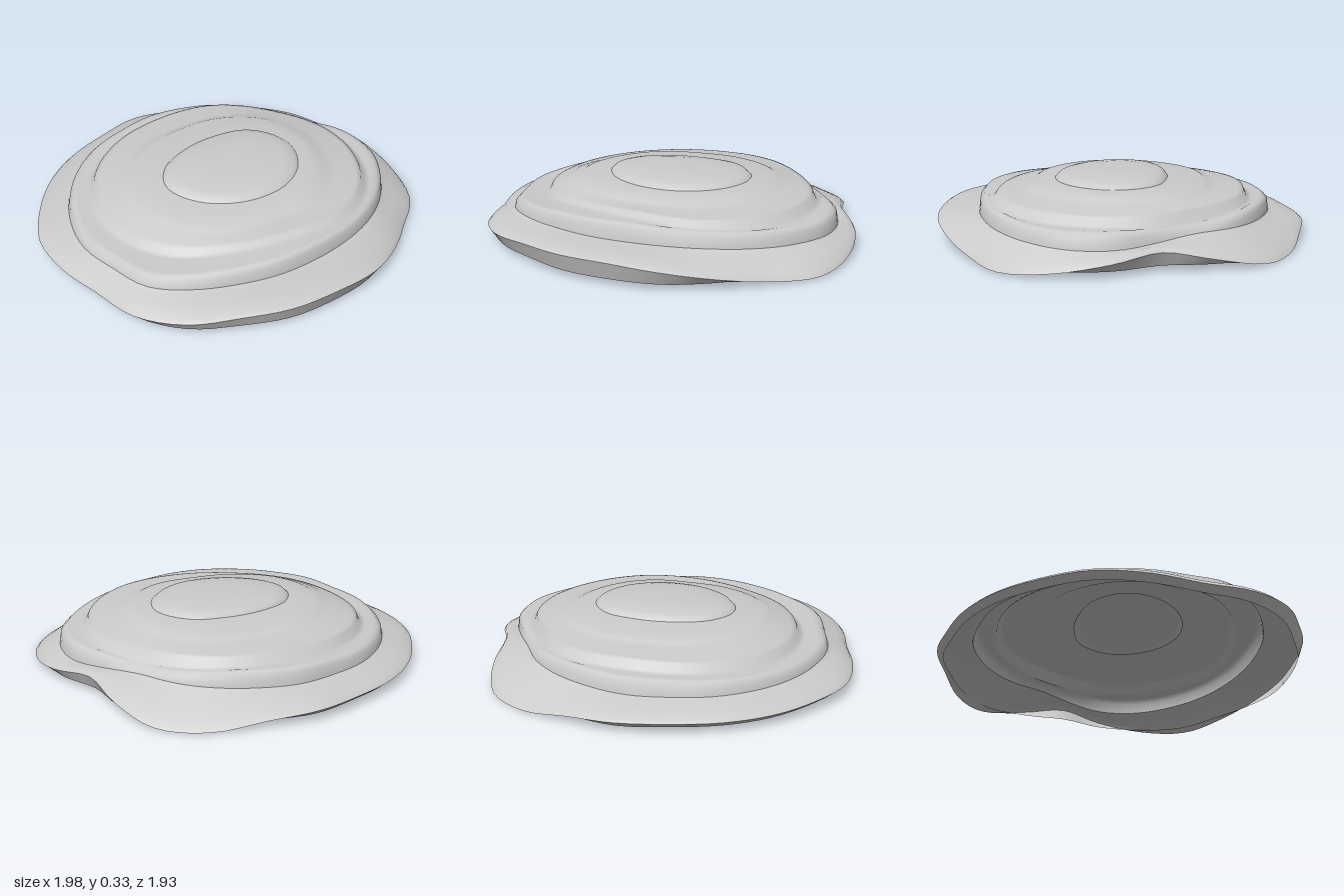
import * as THREE from 'three';

const SEGMENTS = 96;

// Smooth periodic lookup of a table spread evenly around the circle (angle 0 = +x, quarter turn = +z)
function around(table, t) {
  const n = table.length, f = t * n, i = Math.floor(f), u = f - i;
  const at = k => table[(k + n) % n];
  const a = at(i - 1), b = at(i), c = at(i + 1), d = at(i + 2);
  return b + 0.5 * u * (c - a + u * (2 * a - 5 * b + 4 * c - d + u * (3 * (b - c) + d - a)));
}

// Outline radii and heights
const rimR = [0.97, 1.02, 1.04, 0.98, 0.97, 0.975, 0.96, 0.965, 0.965, 1.0, 1.0, 0.96,
  0.985, 1.01, 0.99, 0.98, 0.965, 0.95, 0.97, 0.96, 0.99, 1.01, 0.95, 0.89];
const rimY = [0.07, 0.03, 0.008, 0.02, 0.06, 0.1, 0.12, 0.12, 0.11, 0.09, 0.07, 0.06,
  0.06, 0.06, 0.06, 0.06, 0.06, 0.06, 0.06, 0.04, 0.005, 0.01, 0.06, 0.1];
const ledgeR = [0.87, 0.89, 0.86, 0.82, 0.78, 0.75, 0.74, 0.75, 0.77, 0.81, 0.85, 0.83,
  0.84, 0.83, 0.82, 0.81, 0.8, 0.78, 0.78, 0.77, 0.77, 0.77, 0.76, 0.8];
const ledgeBase = [0.11, 0.12, 0.14, 0.15, 0.15, 0.14, 0.13, 0.12, 0.12, 0.12, 0.13, 0.14];
const ledgeTop = [0.185, 0.19, 0.21, 0.23, 0.22, 0.19, 0.175, 0.175, 0.185, 0.195, 0.195, 0.175];
const middleR = [0.75, 0.75, 0.71, 0.62, 0.61, 0.66, 0.69, 0.7, 0.68, 0.66, 0.69, 0.7];
const middleTop = [0.235, 0.24, 0.25, 0.26, 0.25, 0.235, 0.22, 0.225, 0.235, 0.245, 0.245, 0.24];
const upperR = [0.56, 0.55, 0.53, 0.48, 0.5, 0.53, 0.53, 0.5, 0.48, 0.46, 0.5, 0.55];
const capR = [0.4, 0.39, 0.36, 0.33, 0.32, 0.33, 0.34, 0.3, 0.25, 0.24, 0.27, 0.35];

// A ring is a radius table, a radius scale, and a height table (or number) with an offset
const ring = (r, scale, y, dy = 0) => t => {
  const a = t * Math.PI * 2, radius = around(r, t) * scale;
  return [radius * Math.cos(a), (typeof y === 'number' ? y : around(y, t)) + dy, radius * Math.sin(a)];
};

// Skin a run of rings from outside to inside, optionally closed by a centre point
function skin(name, rings, material, centre) {
  const pos = [], index = [];
  for (const f of rings) for (let i = 0; i < SEGMENTS; i++) pos.push(...f(i / SEGMENTS));
  const last = (rings.length - 1) * SEGMENTS;
  for (let i = 0; i < SEGMENTS; i++) {
    const j = (i + 1) % SEGMENTS;
    for (let k = 0; k < last; k += SEGMENTS) {
      const a = k + i, b = k + j, c = a + SEGMENTS, d = b + SEGMENTS;
      index.push(a, c, b, b, c, d);
    }
    if (centre) index.push(last + i, last + SEGMENTS, last + j);
  }
  if (centre) pos.push(...centre);
  const geo = new THREE.BufferGeometry();
  geo.setAttribute('position', new THREE.Float32BufferAttribute(pos, 3));
  geo.setIndex(index);
  geo.computeVertexNormals();
  const mesh = new THREE.Mesh(geo, material);
  mesh.name = name;
  return mesh;
}

export function createModel() {
  const group = new THREE.Group();
  group.name = 'layeredShell';
  const material = new THREE.MeshStandardMaterial({ color: 0xcccccc, side: THREE.DoubleSide });

  const rimEdge = ring(rimR, 1, rimY);
  const ledgeFoot = ring(ledgeR, 1.01, ledgeBase);
  const capFoot = ring(capR, 1.03, 0.292);
  // Point part way between rim and ledge, slightly lifted
  const slope = (u, lift) => t => {
    const a = rimEdge(t), b = ledgeFoot(t);
    return a.map((v, i) => v + (b[i] - v) * u + (i === 1 ? lift : 0));
  };

  group.add(
    // Tucked-in edge under the rim, ending on a flat open base
    skin('rimUnderside', [ring(rimR, 0.965, 0.03), rimEdge], material),
    // Wavy outer skirt
    skin('skirt', [rimEdge, slope(0.12, 0.012), slope(0.5, 0.01), slope(0.85, 0), ledgeFoot], material),
    // Stepped growth layers
    skin('terraces', [
      ledgeFoot,
      ring(ledgeR, 1.0, ledgeTop, -0.02),
      ring(ledgeR, 0.975, ledgeTop),
      ring(ledgeR, 0.94, ledgeTop, 0.003),
      ring(middleR, 1.05, ledgeTop, 0.0),
      ring(middleR, 1.01, ledgeTop, 0.006),
      ring(middleR, 0.985, middleTop, -0.006),
      ring(middleR, 0.95, middleTop),
      ring(upperR, 1.08, 0.254),
      ring(upperR, 1.0, 0.264),
      ring(upperR, 0.94, 0.28),
      ring(capR, 1.2, 0.288),
      capFoot,
    ], material),
    // Low rounded crown
    skin('crown', [
      capFoot,
      ring(capR, 0.97, 0.312),
      ring(capR, 0.85, 0.321),
      ring(capR, 0.55, 0.332),
      ring(capR, 0.25, 0.334),
    ], material, [0, 0.334, 0]),
  );
  return group;
}
